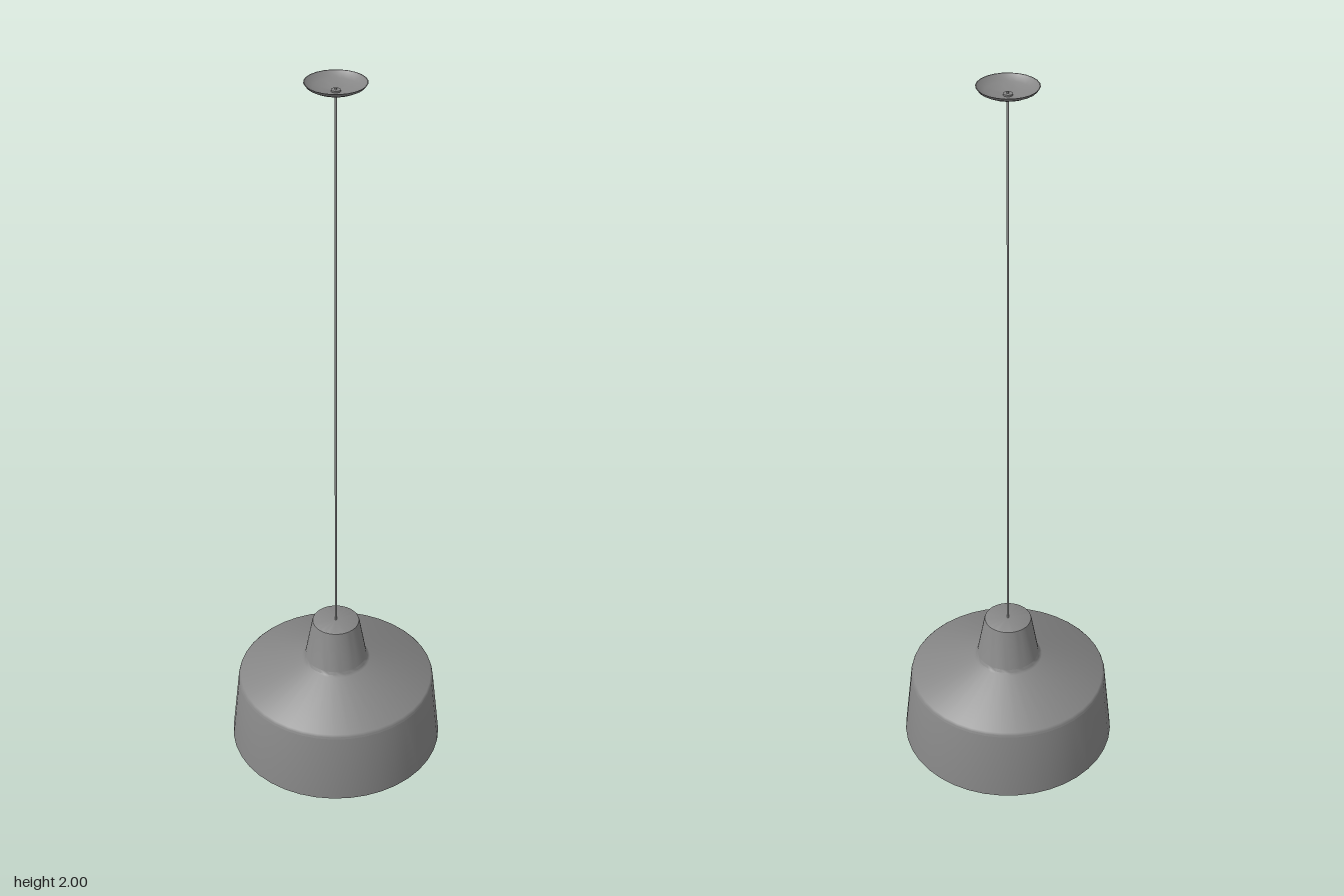
import * as THREE from 'three';
import { toCreasedNormals } from 'three/addons/utils/BufferGeometryUtils.js';

export function createModel() {
  const group = new THREE.Group();
  const material = new THREE.MeshStandardMaterial({ color: 0x868686, side: THREE.DoubleSide });

  // Revolves a profile of [radius, height] pairs, keeping hard edges sharp
  function turned(name, profile, sides) {
    const points = profile.map(([r, y]) => new THREE.Vector2(r, y));
    const geometry = toCreasedNormals(new THREE.LatheGeometry(points, sides), 0.6);
    const mesh = new THREE.Mesh(geometry, material);
    mesh.name = name;
    group.add(mesh);
  }

  // Outer skin of the shade: rim, wall, softened shoulder, neck and flat cap
  turned('shade', [
    [0.29, 0], [0.299, 0],
    [0.278, 0.2], [0.276, 0.206], [0.271, 0.211],
    [0.097, 0.267], [0.091, 0.271], [0.087, 0.279],
    [0.067, 0.392], [0.065, 0.397], [0.061, 0.399], [0, 0.399],
  ], 40);

  // Inner skin of the shade
  turned('shadeLining', [
    [0, 0.39], [0.058, 0.39], [0.08, 0.265],
    [0.266, 0.203], [0.29, 0],
  ], 40);

  // Hanging cord
  turned('cord', [[0, 0.39], [0.003, 0.39], [0.003, 1.985], [0, 1.985]], 12);

  // Shallow ceiling canopy, open at the top
  turned('canopy', [
    [0.004, 1.974], [0.02, 1.975], [0.04, 1.979], [0.058, 1.985],
    [0.071, 1.992], [0.077, 2], [0.075, 2],
    [0.068, 1.993], [0.056, 1.987], [0.038, 1.981], [0.012, 1.977],
  ], 24);

  // Cord grip under the canopy
  turned('cordGrip', [
    [0.003, 1.966], [0.009, 1.966], [0.012, 1.972], [0.012, 1.981], [0.003, 1.981],
  ], 16);

  return group;
}
